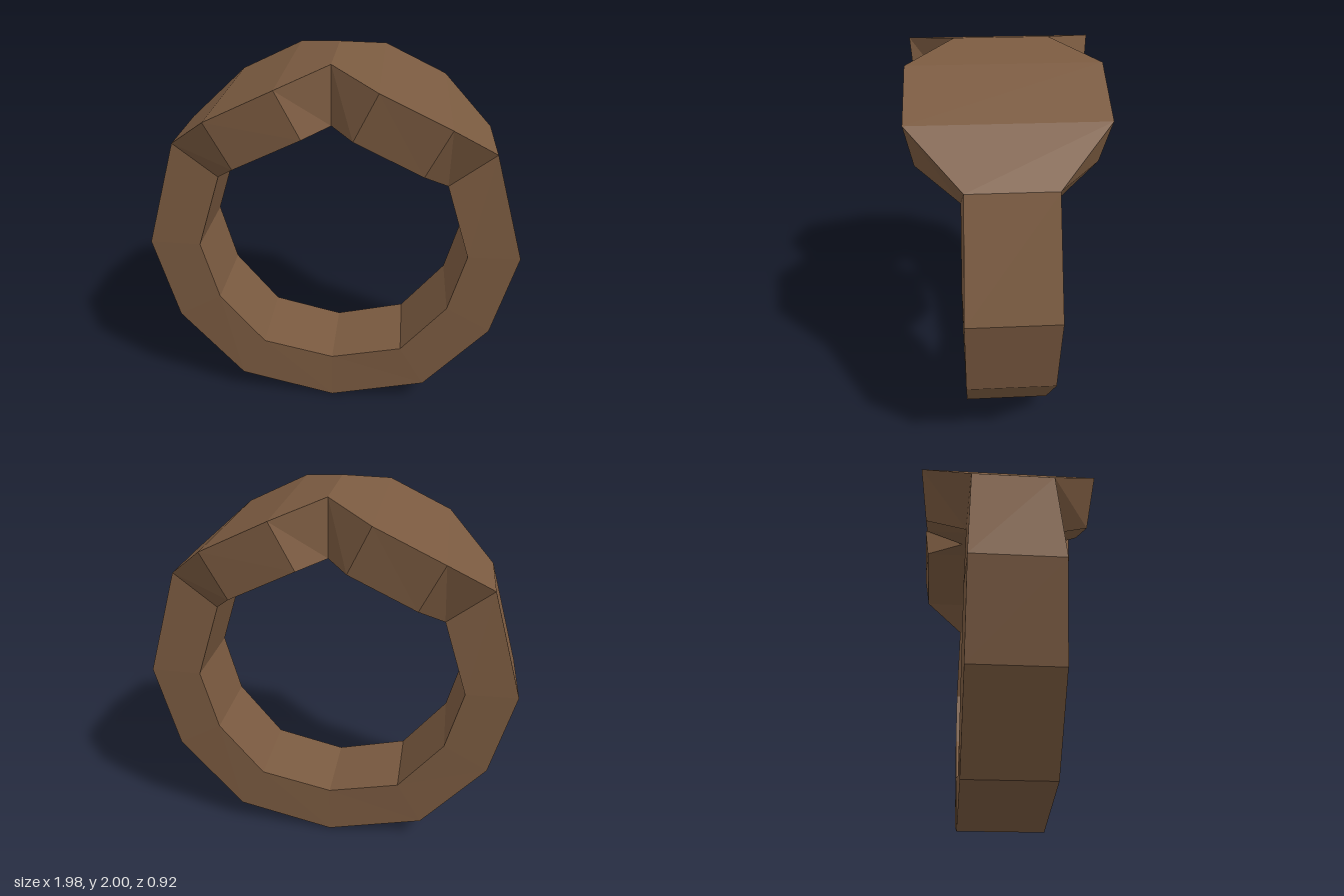
import * as THREE from 'three';

// Half of the ring, bottom to top: [outer x, outer y, outer half depth, inner x, inner y, inner half depth]
const HALF = [
  [0, 0.005, 0.22, 0, 0.285, 0.22],
  [0.53, 0.13, 0.22, 0.39, 0.375, 0.225],
  [0.872, 0.53, 0.22, 0.63, 0.67, 0.228],
  [0.988, 1.0, 0.22, 0.715, 1.0, 0.228],
  [0.815, 1.57, 0.205, 0.585, 1.4, 0.22],
  [0.57, 1.78, 0.462, 0.455, 1.535, 0.43],
  [0.235, 1.94, 0.462, 0.12, 1.7, 0.437],
  [0, 2.0, 0.23, 0, 1.7, 0.23],
];

// Joins four-cornered cross-sections into a closed loop
function loopGeometry(sections) {
  const positions = [];
  const index = [];
  const n = sections.length;
  sections.forEach(([ox, oy, oz, ix, iy, iz], i) => {
    positions.push(ox, oy, oz, ox, oy, -oz, ix, iy, -iz, ix, iy, iz);
    const a = i * 4;
    const b = ((i + 1) % n) * 4;
    for (let k = 0; k < 4; k++) {
      const m = (k + 1) % 4;
      index.push(a + m, b + m, a + k, b + m, b + k, a + k);
    }
  });
  const geometry = new THREE.BufferGeometry();
  geometry.setAttribute('position', new THREE.Float32BufferAttribute(positions, 3));
  geometry.setIndex(index);
  const faceted = geometry.toNonIndexed();
  faceted.computeVertexNormals();
  return faceted;
}

export function createModel() {
  const group = new THREE.Group();
  group.name = 'ring';

  // Mirror the half, leaving out the shared top and bottom sections
  const mirrored = HALF.slice(1, -1).reverse().map(([ox, oy, oz, ix, iy, iz]) => [-ox, oy, oz, -ix, iy, iz]);

  // Band that widens into a notched two-lobed face at the top
  const band = new THREE.Mesh(
    loopGeometry([...HALF, ...mirrored]),
    new THREE.MeshStandardMaterial({ color: 0x7a5a40, flatShading: true })
  );
  band.name = 'band';
  group.add(band);
  return group;
}
